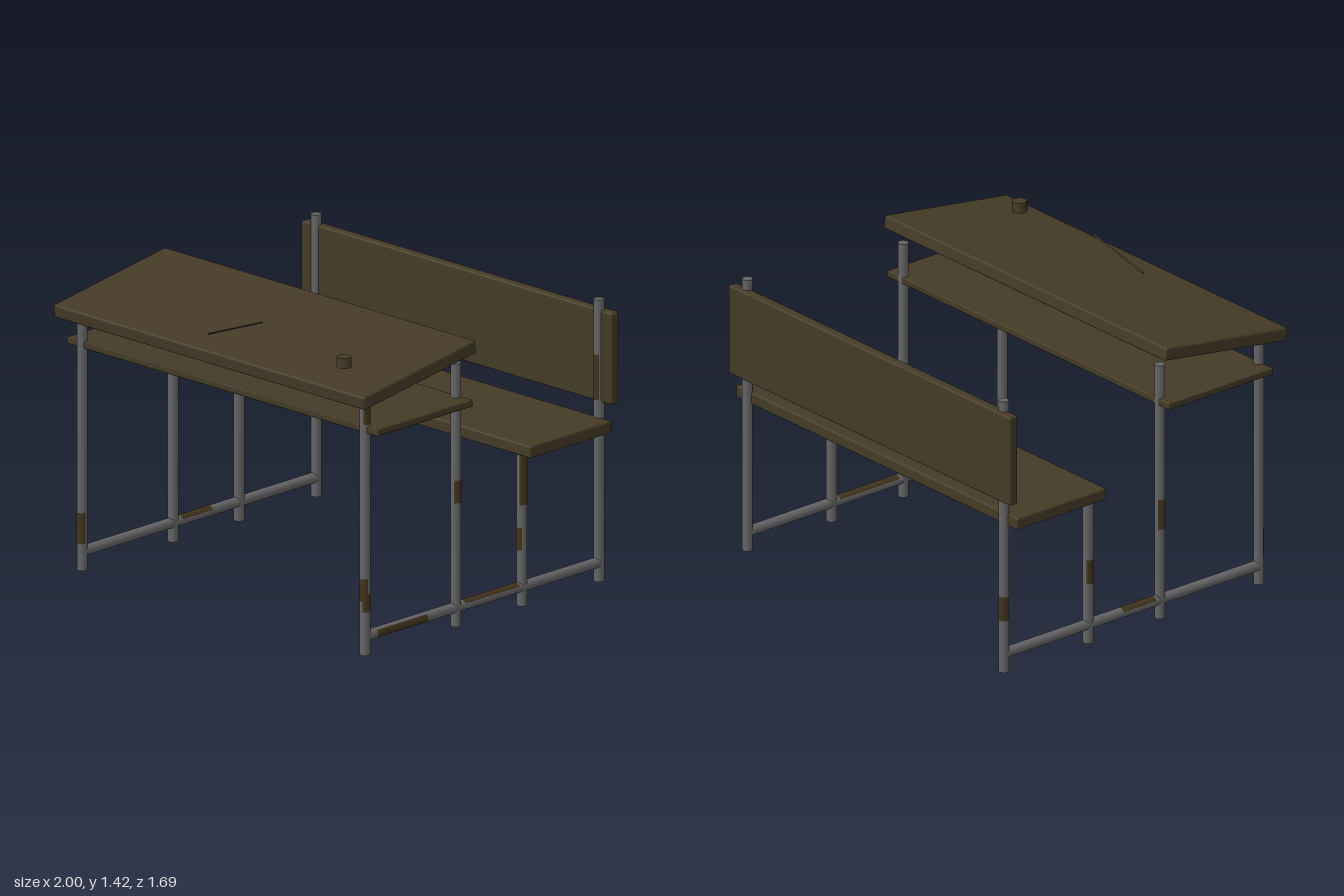
import * as THREE from 'three';
import { RoundedBoxGeometry } from 'three/addons/geometries/RoundedBoxGeometry.js';

export function createModel() {
  const model = new THREE.Group();
  model.name = 'schoolDesk';
  const material = (name, color) => {
    const m = new THREE.MeshStandardMaterial({ color });
    m.name = name;
    return m;
  };
  const wood = material('darkWood', 0x443a26);
  const metal = material('greyMetal', 0x646466);
  const rust = material('rust', 0x40331c);
  const pencilPaint = material('pencilPaint', 0x332d24);

  const add = (name, geometry, mat, x, y, z, parent = model) => {
    const mesh = new THREE.Mesh(geometry, mat);
    mesh.name = name;
    mesh.position.set(x, y, z);
    parent.add(mesh);
    return mesh;
  };
  const board = (name, h, d, y, z, r = 0.01) =>
    add(name, new RoundedBoxGeometry(2, h, d, 2, r), wood, 0, y, z);

  // Wooden boards
  board('deskTop', 0.065, 0.748, 1.308, 0.468).rotation.x = 0.146;
  board('bookShelf', 0.033, 0.63, 1.093, 0.435, 0.005);
  board('seat', 0.06, 0.54, 0.765, -0.53);
  board('backrest', 0.445, 0.05, 1.092, -0.821);

  // Side frames: four posts joined by a floor rail
  const R = 0.025, X = 0.91, railY = 0.09;
  const posts = [
    ['frontDeskLeg', 0.74, 1.245],
    ['rearDeskLeg', 0.14, 1.275],
    ['seatLeg', -0.295, 0.745],
    ['backrestPost', -0.805, 1.365],
  ];
  for (const side of [-1, 1]) {
    const frame = new THREE.Group();
    frame.name = side > 0 ? 'leftFrame' : 'rightFrame';
    model.add(frame);
    for (const [name, z, h] of posts) {
      add(name, new THREE.CylinderGeometry(R, R, h, 20), metal, side * X, h / 2, z, frame);
    }
    const length = 1.545;
    add('floorRail', new THREE.CylinderGeometry(R, R, length, 20), metal,
      side * X, railY, 0.74 - length / 2, frame).rotation.x = Math.PI / 2;
  }

  // Rust patches: thin curved shells; angle 0 faces +z, PI/2 faces +x
  const shell = (length, angle, arc) =>
    new THREE.CylinderGeometry(R + 0.0007, R + 0.0007, length, 10, 1, true, angle - arc / 2, arc);
  const H = Math.PI / 2;
  const postPatches = [
    // side, post z, bottom, top, facing angle, arc
    [1, 0.74, 0.26, 0.37, 0, 2.6],
    [1, 0.74, 0.21, 0.3, H * 0.8, 2],
    [1, 0.74, 1.12, 1.24, H, 2.2],
    [1, 0.14, 0.6, 0.71, H, 2.2],
    [1, -0.295, 0.49, 0.735, H * 0.9, 2.2],
    [1, -0.295, 0.27, 0.38, 0, 1.6],
    [1, -0.805, 0.88, 1.1, 0, 1.6],
    [-1, 0.74, 0.13, 0.28, 0, 2.8],
    [-1, 0.14, 0.45, 0.6, -H, 2],
    [-1, -0.295, 0.3, 0.42, -H, 2],
    [-1, -0.805, 0.26, 0.38, -H * 1.5, 2],
  ];
  for (const [side, z, y0, y1, angle, arc] of postPatches) {
    add('postRust', shell(y1 - y0, angle, arc), rust, side * X, (y0 + y1) / 2, z);
  }
  // On the rails the tube lies along z, so the top is at angle PI
  const railPatches = [
    // side, z start, z end, facing angle, arc
    [1, 0.35, 0.68, H, 1.6],
    [1, -0.26, 0.1, Math.PI, 2.2],
    [-1, -0.1, 0.1, Math.PI, 2.4],
  ];
  for (const [side, z0, z1, angle, arc] of railPatches) {
    add('railRust', shell(z1 - z0, angle, arc), rust, side * X, railY, (z0 + z1) / 2)
      .rotation.x = Math.PI / 2;
  }

  // Small cup and pencil on the desk
  add('inkwell', new THREE.CylinderGeometry(0.035, 0.035, 0.05, 20), wood, 0.725, 1.365, 0.688);
  const tip = new THREE.Vector3(-0.13, 1.31, 0.706);
  const end = new THREE.Vector3(0.165, 1.42, 0.655);
  const along = end.clone().sub(tip);
  const mid = tip.clone().add(end).multiplyScalar(0.5);
  const pencil = add('pencil', new THREE.CylinderGeometry(0.004, 0.004, along.length(), 6),
    pencilPaint, mid.x, mid.y, mid.z);
  pencil.quaternion.setFromUnitVectors(new THREE.Vector3(0, 1, 0), along.normalize());

  return model;
}
